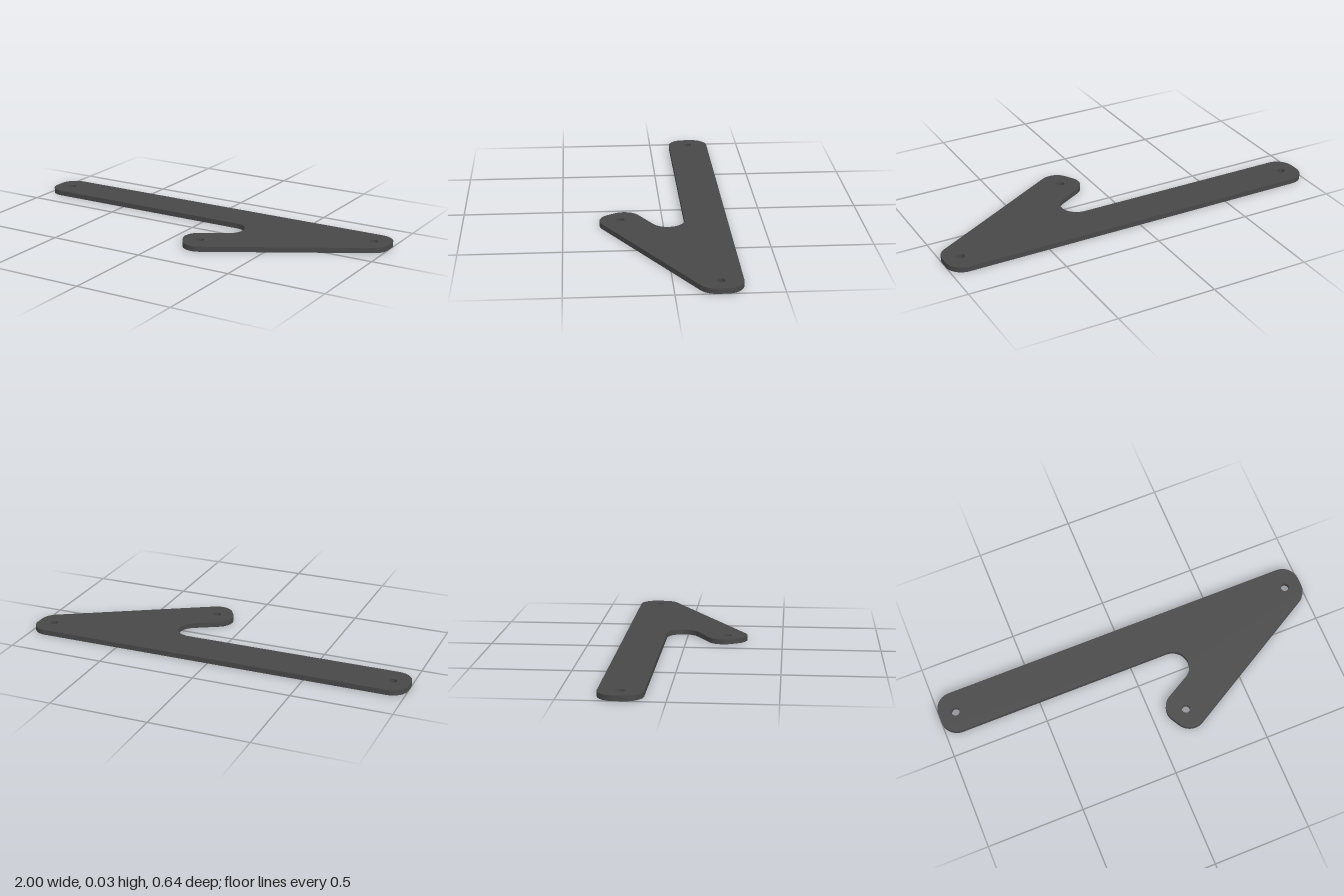
import * as THREE from 'three';

const THICKNESS = 0.026;
const R = 0.085;          // corner and notch radius
const HOLE_R = 0.021;
const HALF = 0.107;       // half width of bar and arm
const OFF = HALF - R;     // corner centre offset from the hole line
const BAR_Z = -0.213;
const ARM = [0.174, 0.213];
const HOLES = [[-0.915, BAR_Z], [0.915, BAR_Z], ARM];
const rad = THREE.MathUtils.degToRad;

export function createModel() {
  // Outline drawn in the x-z plane; arcs are joined by straight edges
  const plate = new THREE.Shape();
  const arc = (x, z, from, to) => plate.absarc(x, z, R, rad(from), rad(to), to < from);
  const nx = OFF * Math.cos(rad(60)), nz = OFF * Math.sin(rad(60));

  arc(-0.915, BAR_Z - OFF, 180, 270);          // bar end, back corner
  arc(0.915, BAR_Z - OFF, -90, 0);             // wide end, back corner
  arc(0.915, BAR_Z + OFF, 0, 60);              // wide end into sloping edge
  arc(ARM[0] + nx, ARM[1] + nz, 60, 150);      // arm tip, outer corner
  arc(ARM[0] - nx, ARM[1] - nz, 150, 240);     // arm tip, inner corner
  arc(0.198, BAR_Z + HALF + R, 60, -90);       // rounded notch
  arc(-0.915, BAR_Z + OFF, 90, 180);           // bar end, front corner
  plate.closePath();

  // Bolt holes
  for (const [x, z] of HOLES) {
    plate.holes.push(new THREE.Path().absarc(x, z, HOLE_R, 0, Math.PI * 2, true));
  }

  const geometry = new THREE.ExtrudeGeometry(plate, {
    depth: THICKNESS, bevelEnabled: false, curveSegments: 10,
  });
  geometry.rotateX(Math.PI / 2).translate(0, THICKNESS, 0);

  const mesh = new THREE.Mesh(geometry, new THREE.MeshStandardMaterial({ color: 0x484848 }));
  mesh.name = 'bracketPlate';

  const group = new THREE.Group();
  group.name = 'bracket';
  group.add(mesh);
  return group;
}
